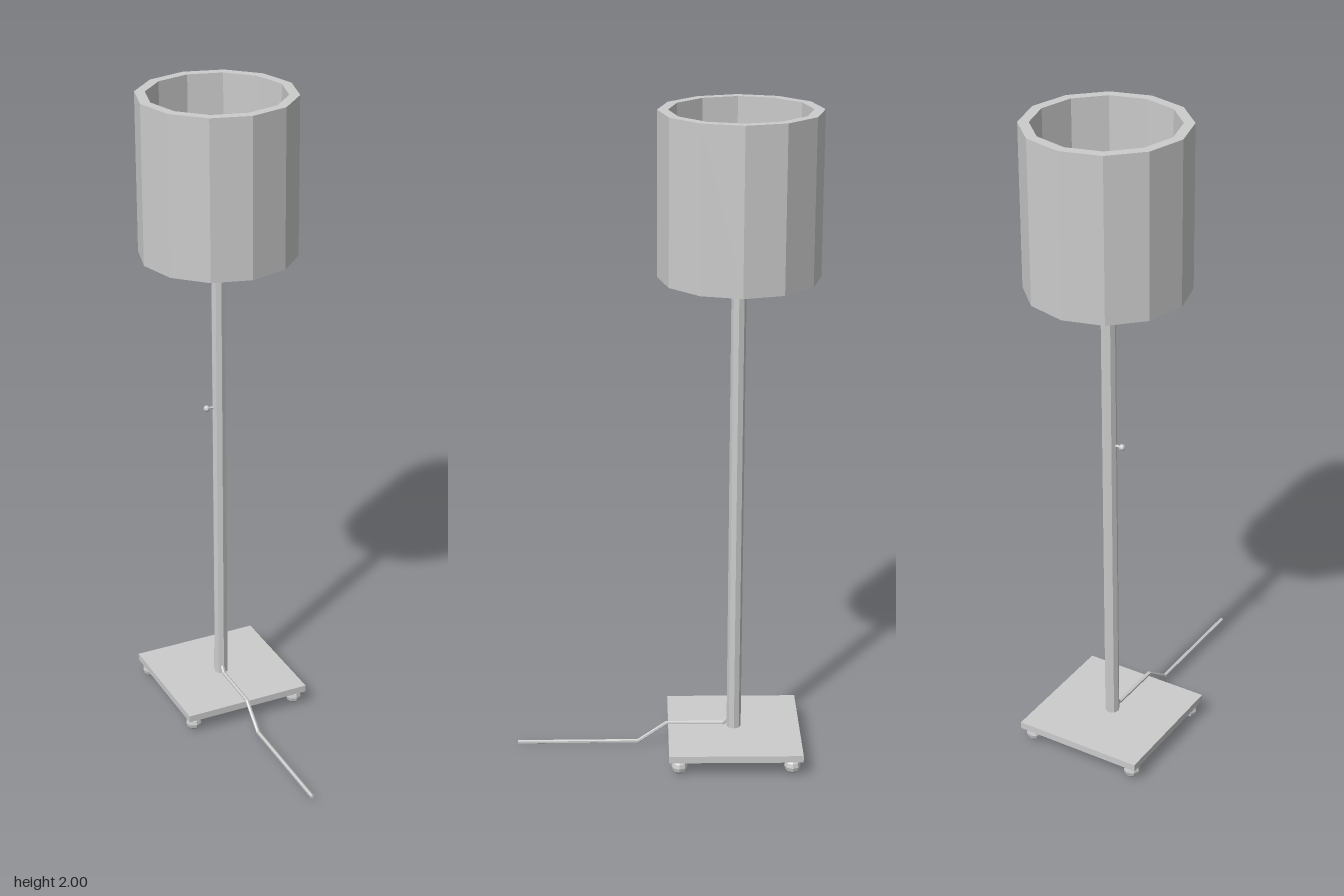
import * as THREE from 'three';

const CZ = -0.218; // lamp axis depth; the cord runs forward from it

const material = new THREE.MeshStandardMaterial({ color: 0xcccccc, flatShading: true });

export function createModel() {
  const model = new THREE.Group();

  const add = (name, geometry, x = 0, y = 0, z = CZ) => {
    const mesh = new THREE.Mesh(geometry, material);
    mesh.name = name;
    mesh.position.set(x, y, z);
    model.add(mesh);
    return mesh;
  };

  // Straight bar between two points
  const rod = (name, from, to, radius, sides) => {
    const a = new THREE.Vector3(...from);
    const b = new THREE.Vector3(...to);
    const dir = b.clone().sub(a);
    const mid = a.clone().add(b).multiplyScalar(0.5);
    const mesh = add(name, new THREE.CylinderGeometry(radius, radius, dir.length(), sides), mid.x, mid.y, mid.z);
    mesh.quaternion.setFromUnitVectors(new THREE.Vector3(0, 1, 0), dir.normalize());
    return mesh;
  };

  // Square base plate on four ball feet
  add('base', new THREE.BoxGeometry(0.408, 0.022, 0.408), 0, 0.059);
  for (const x of [-0.176, 0.176]) {
    for (const z of [-0.172, 0.172]) {
      add('foot', new THREE.SphereGeometry(0.025, 8, 6), x, 0.025, CZ + z);
    }
  }

  // Pole
  add('pole', new THREE.CylinderGeometry(0.022, 0.022, 1.59, 8), 0, 0.865);

  // Twelve-sided shade, open at both ends, with a thick wall
  const wall = [[0.237, 1.515], [0.237, 2], [0.206, 2], [0.206, 1.515], [0.237, 1.515]];
  add('shade', new THREE.LatheGeometry(wall.map(([r, y]) => new THREE.Vector2(r, y)), 12));

  // Crossed bars holding the shade
  add('shadeBar', new THREE.BoxGeometry(0.412, 0.012, 0.012), 0, 1.645);
  add('shadeBar', new THREE.BoxGeometry(0.012, 0.012, 0.412), 0, 1.645);

  // Bulb on the pole's end
  const bulb = [[0.02, 1.65], [0.024, 1.68], [0.049, 1.71], [0.057, 1.74], [0.049, 1.77], [0.027, 1.79], [0, 1.797]];
  add('bulb', new THREE.LatheGeometry(bulb.map(([r, y]) => new THREE.Vector2(r, y)), 8));

  // Switch on the right of the pole
  rod('switchStem', [-0.018, 1.017, CZ], [-0.042, 1.017, CZ], 0.004, 6);
  add('switchKnob', new THREE.SphereGeometry(0.01, 8, 6), -0.042, 1.017);

  // Power cord: out of the pole, over the base, down to the floor
  const cord = [
    [-0.004, 0.095, -0.2],
    [-0.005, 0.077, -0.185],
    [-0.007, 0.077, -0.01],
    [-0.011, 0.012, 0.08],
    [-0.012, 0.01, 0.455],
  ];
  for (let i = 1; i < cord.length; i++) {
    rod('cord', cord[i - 1], cord[i], 0.006, 6);
    // Small ball closing each bend
    if (i < cord.length - 1) add('cordBend', new THREE.SphereGeometry(0.006, 6, 4), ...cord[i]);
  }

  return model;
}
